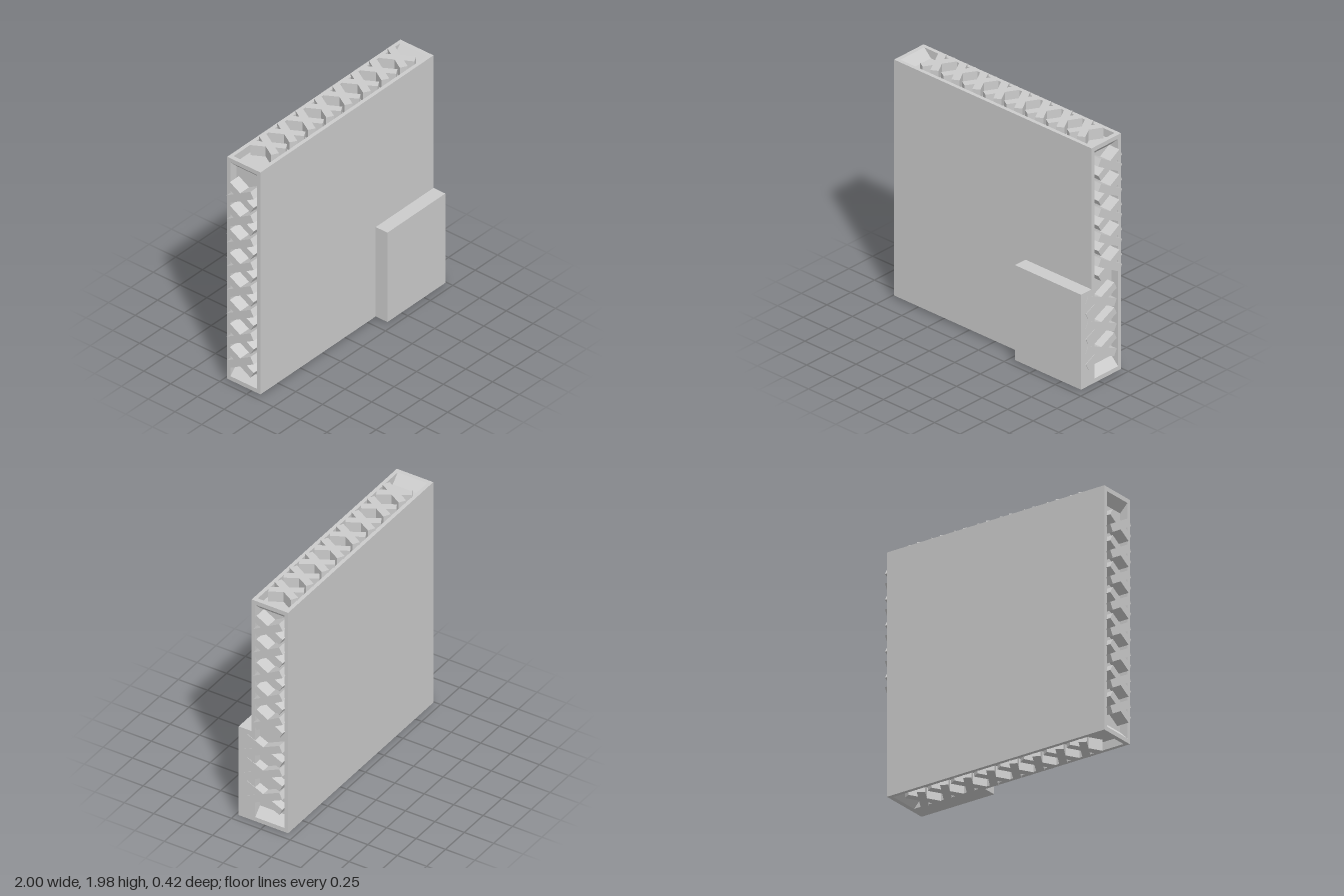
import * as THREE from 'three';

const material = new THREE.MeshStandardMaterial({ color: 0xcccccc, flatShading: true });
const H = 0.965;      // half side of the square body
const CY = 0.988;     // height of the body's centre
const RIM = 0.035, DEPTH = 0.065;  // channel rim and depth
const PITCH = 0.205;

function box(name, x0, x1, y0, y1, z0, z1) {
  const mesh = new THREE.Mesh(new THREE.BoxGeometry(x1 - x0, y1 - y0, z1 - z0), material);
  mesh.position.set((x0 + x1) / 2, (y0 + y1) / 2, (z0 + z1) / 2);
  mesh.name = name;
  return mesh;
}

// X-shaped prism: two crossed bars, long axis along local y, extruded along z
function crossGeometry(length, width, degrees, depth) {
  const a = THREE.MathUtils.degToRad(degrees), s = Math.sin(a), c = Math.cos(a);
  const l = length / 2, w = width / 2;
  const low = [l * s + w * c, l * c - w * s];
  const high = [l * s - w * c, l * c + w * s];
  const points = [
    [w / c, 0], low, high,
    [0, w / s], [-high[0], high[1]], [-low[0], low[1]],
    [-w / c, 0], [-low[0], -low[1]], [-high[0], -high[1]],
    [0, -w / s], [high[0], -high[1]], [low[0], -low[1]],
  ].map(([x, y]) => new THREE.Vector2(x, y));
  return new THREE.ExtrudeGeometry(new THREE.Shape(points), { depth, bevelEnabled: false });
}

// Core with a flared channel cut into each of its four edges
function core() {
  const edge = [[-H, -H], [-H + RIM, -H], [-H + RIM + DEPTH, -H + DEPTH],
    [H - RIM - DEPTH, -H + DEPTH], [H - RIM, -H]];
  const points = [];
  for (let i = 0; i < 4; i++) {
    for (const [x, y] of edge) {
      points.push(new THREE.Vector2(x, y).rotateAround(new THREE.Vector2(), i * Math.PI / 2));
    }
  }
  const geometry = new THREE.ExtrudeGeometry(new THREE.Shape(points), { depth: 0.25, bevelEnabled: false });
  const mesh = new THREE.Mesh(geometry, material);
  mesh.position.set(0, CY, -0.18);
  mesh.name = 'channelledCore';
  return mesh;
}

// Row of crosses standing on a channel floor, facing out along (ox, oy)
function crossRow(name, geometry, ox, oy, centres, z) {
  const row = new THREE.Group();
  row.name = name;
  const floor = H - DEPTH;
  const basis = new THREE.Matrix4().makeBasis(
    new THREE.Vector3(-oy, ox, 0), new THREE.Vector3(0, 0, 1), new THREE.Vector3(ox, oy, 0));
  for (const t of centres) {
    const mesh = new THREE.Mesh(geometry, material);
    mesh.quaternion.setFromRotationMatrix(basis);
    mesh.position.set(ox ? ox * floor : t, oy ? CY + oy * floor : t, z);
    mesh.name = 'crossBrace';
    row.add(mesh);
  }
  return row;
}

const series = (start, count, step) => Array.from({ length: count }, (_, i) => start + i * step);

export function createModel() {
  const model = new THREE.Group();
  model.name = 'panelBlock';

  // Body: core between two plates, with a raised block at the lower front corner
  model.add(core());
  model.add(box('backPlate', -H, H, CY - H, CY + H, -0.21, -0.18));
  model.add(box('frontPlate', -H, H, CY - H, CY + H, 0.07, 0.10));
  model.add(box('cornerBlock', 0.32, H, CY - H, 0.80, 0.10, 0.21));

  // Cross braces in the four channels
  const sideCross = crossGeometry(0.256, 0.06, 30, DEPTH + 0.035);
  const endCross = crossGeometry(0.256, 0.06, 30, DEPTH + 0.0225);
  const wideCross = crossGeometry(0.33, 0.06, 25, DEPTH + 0.003);
  model.add(crossRow('topBraces', endCross, 0, 1, series(-0.68, 8, PITCH), -0.06));
  model.add(crossRow('bottomBraces', endCross, 0, -1, series(-0.68, 8, PITCH), -0.06));
  model.add(crossRow('rightBraces', sideCross, -1, 0, series(0.25, 8, PITCH), -0.06));
  model.add(crossRow('leftUpperBraces', sideCross, 1, 0, series(0.945, 5, PITCH), -0.06));
  model.add(crossRow('leftLowerBraces', wideCross, 1, 0, series(0.255, 3, PITCH), 0));
  return model;
}
